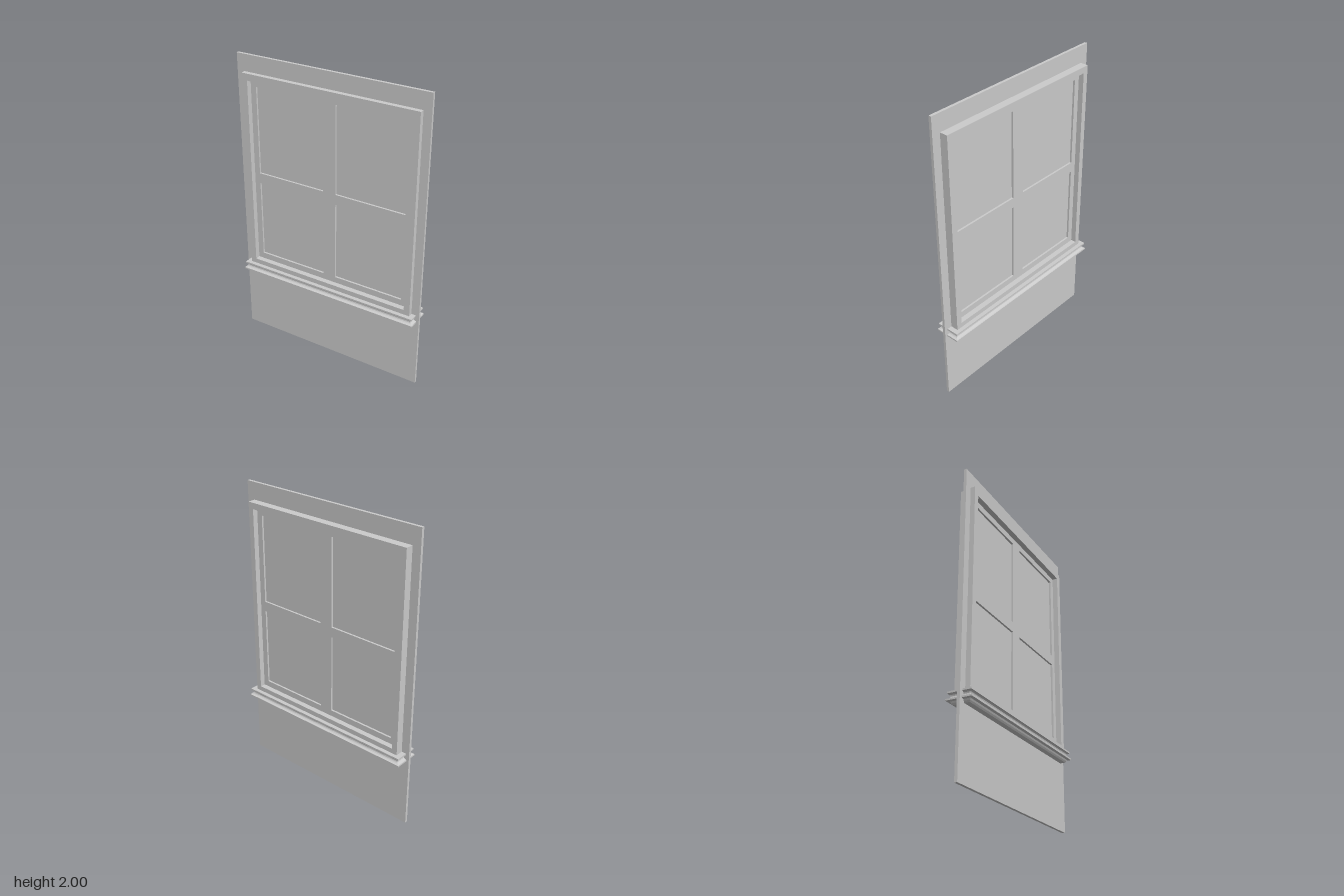
import * as THREE from 'three';

const mat = new THREE.MeshStandardMaterial({ color: 0xcccccc, flatShading: true });

function add(group, name, geo) {
  const m = new THREE.Mesh(geo, mat);
  m.name = name;
  group.add(m);
  return m;
}

// Rectangle outline from corner limits
function rect(Type, x0, x1, y0, y1) {
  return new Type([[x0, y0], [x1, y0], [x1, y1], [x0, y1]].map(p => new THREE.Vector2(...p)));
}

// Flat board with rectangular openings, spanning z0..z1
function board(outer, holes, z0, z1) {
  const shape = rect(THREE.Shape, ...outer);
  shape.holes = holes.map(h => rect(THREE.Path, ...h));
  const geo = new THREE.ExtrudeGeometry(shape, { depth: z1 - z0, bevelEnabled: false });
  return geo.translate(0, 0, z0);
}

// Moulding that runs round a rectangle: profile of [inset, y], bottom to top
function moulding(halfX, halfZ, profile) {
  const pos = [];
  const rings = profile.map(([d, y]) => {
    const x = halfX - d, z = halfZ - d;
    return [[-x, y, z], [x, y, z], [x, y, -z], [-x, y, -z]];
  });
  const quad = (a, b, c, d) => pos.push(...a, ...b, ...c, ...a, ...c, ...d);
  for (let i = 0; i < rings.length - 1; i++) {
    for (let k = 0; k < 4; k++) {
      const n = (k + 1) % 4;
      quad(rings[i][k], rings[i][n], rings[i + 1][n], rings[i + 1][k]);
    }
  }
  const top = rings[rings.length - 1], bottom = rings[0];
  quad(top[0], top[1], top[2], top[3]);
  quad(bottom[3], bottom[2], bottom[1], bottom[0]);
  const geo = new THREE.BufferGeometry();
  geo.setAttribute('position', new THREE.Float32BufferAttribute(pos, 3));
  geo.computeVertexNormals();
  return geo;
}

export function createModel() {
  const group = new THREE.Group();
  group.name = 'windowWall';

  const opening = [-0.572, 0.572, 0.565, 1.845];

  // Thin wall panel around the opening
  add(group, 'wallPanel', board([-0.665, 0.665, 0, 2], [opening], 0.001, 0.02));

  // Casing standing proud on both faces
  add(group, 'frontCasing', board([-0.612, 0.612, 0.525, 1.89], [opening], 0.005, 0.052));
  add(group, 'backCasing', board([-0.609, 0.609, 0.525, 1.886], [opening], -0.052, 0.005));

  // Sash with four lights
  const lights = [];
  for (const [x0, x1] of [[-0.533, -0.045], [0.045, 0.533]]) {
    for (const [y0, y1] of [[0.607, 1.143], [1.212, 1.803]]) lights.push([x0, x1, y0, y1]);
  }
  add(group, 'sash', board(opening, lights, -0.016, 0.016));

  // Panes
  for (const [x0, x1, y0, y1] of lights) {
    add(group, 'pane', new THREE.BoxGeometry(x1 - x0, y1 - y0, 0.006))
      .position.set((x0 + x1) / 2, (y0 + y1) / 2, 0);
  }

  // Moulded sill: stepped foot, lower lip, hollow, upper lip
  const profile = [[0.03, 0.455], [0.024, 0.465], [0.02, 0.475], [0, 0.477], [0, 0.487], [0.006, 0.488]];
  for (let i = 1; i < 6; i++) {
    const a = Math.PI * i / 6;
    profile.push([0.007 + 0.014 * Math.sin(a), 0.505 - 0.016 * Math.cos(a)]);
  }
  profile.push([0.006, 0.521], [0.006, 0.532]);
  add(group, 'sill', moulding(0.648, 0.085, profile));

  return group;
}
